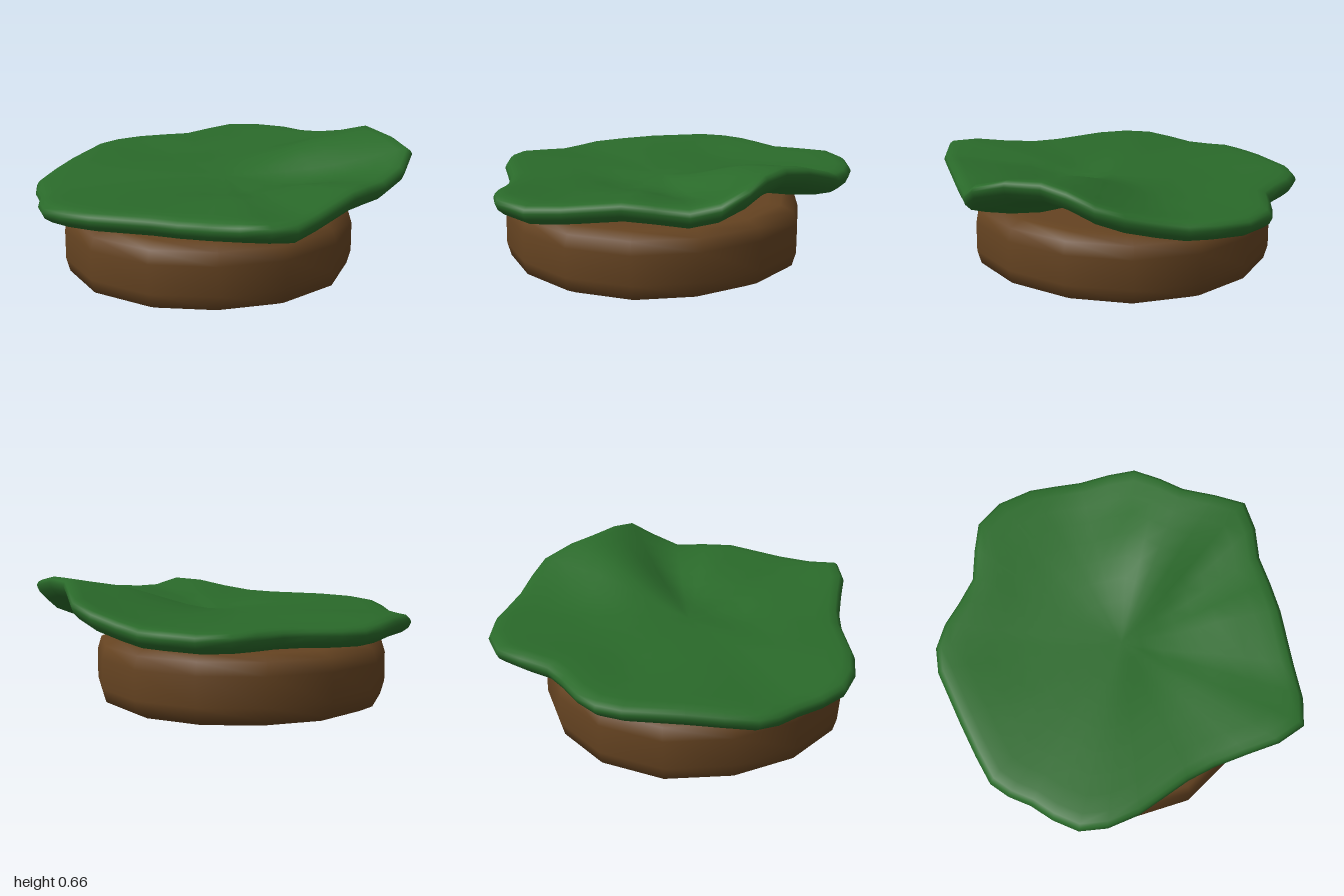
import * as THREE from 'three';

// Rim of the leaf, clockwise from the back: x, z, height of the upper lip
const RIM = [
  [0.13, -1, 0.5], [0.29, -0.98, 0.5], [0.44, -0.89, 0.505], [0.53, -0.8, 0.505], [0.62, -0.69, 0.525],
  [0.73, -0.58, 0.56], [0.81, -0.47, 0.605], [0.825, -0.32, 0.65], [0.835, -0.18, 0.67], [0.9, -0.02, 0.67],
  [0.96, 0.12, 0.64], [0.9, 0.23, 0.57], [0.79, 0.33, 0.525], [0.69, 0.46, 0.54], [0.59, 0.58, 0.55],
  [0.39, 0.79, 0.515], [0.27, 0.92, 0.505], [0.14, 1, 0.535], [0, 0.945, 0.525], [-0.13, 0.845, 0.5],
  [-0.27, 0.745, 0.48], [-0.4, 0.675, 0.475], [-0.68, 0.57, 0.47], [-0.82, 0.48, 0.465], [-0.91, 0.37, 0.455],
  [-0.935, 0.23, 0.44], [-0.935, 0.1, 0.43], [-0.96, -0.02, 0.43], [-0.96, -0.13, 0.44], [-0.89, -0.27, 0.455],
  [-0.8, -0.43, 0.47], [-0.65, -0.68, 0.48], [-0.55, -0.77, 0.48], [-0.42, -0.81, 0.485], [-0.28, -0.82, 0.49],
  [-0.14, -0.84, 0.49], [0, -0.93, 0.495],
];

// Ring sections from top centre, round the lip, to bottom centre: radius fraction, drop below the top
const SECTION = [
  [0, 0], [0.12, 0], [0.24, 0], [0.36, 0], [0.48, 0], [0.6, 0], [0.72, 0], [0.83, 0], [0.92, 0], [0.97, 0.008],
  [0.99, 0.025], [1, 0.045], [0.985, 0.075], [0.95, 0.1], [0.86, 0.112], [0.7, 0.12], [0.5, 0.12], [0.25, 0.12], [0, 0.12],
];

const bump = (x, z, cx, cz, rx, rz) => Math.exp(-(((x - cx) / rx) ** 2) - ((z - cz) / rz) ** 2);

// Height of the upper skin: dished centre, raised rim, one fold and shallow dents
function topHeight(x, z, t, rimY) {
  const inner = 1 - t ** 4;
  return 0.465 + (rimY - 0.465) * t ** 1.7
    + inner * (0.065 * bump(x, z, 0.5, -0.2, 0.35, 0.24)
    - 0.03 * bump(x, z, 0.45, 0.12, 0.35, 0.12)
    - 0.025 * bump(x, z, 0.1, 0.24, 0.3, 0.12)
    + 0.02 * bump(x, z, 0.4, 0.36, 0.3, 0.14)
    - 0.015 * bump(x, z, -0.25, -0.47, 0.4, 0.12));
}

function leafGeometry() {
  const n = RIM.length;
  const last = SECTION.length - 1;
  const pos = [];
  const index = [];
  const id = (i, j) => (i === 0 ? 0 : i === last ? 1 + (last - 1) * n : 1 + (i - 1) * n + (j % n));
  SECTION.forEach(([t, drop], i) => {
    const count = i === 0 || i === last ? 1 : n;
    for (let j = 0; j < count; j++) {
      const [rx, rz, ry] = RIM[j];
      const x = rx * t;
      const z = rz * t;
      pos.push(x, topHeight(x, z, t, ry) - drop, z);
    }
  });
  for (let i = 0; i < last; i++) {
    for (let j = 0; j < n; j++) {
      const a = id(i, j), b = id(i + 1, j), c = id(i + 1, j + 1), d = id(i, j + 1);
      if (i < last - 1) index.push(a, c, b);
      if (i > 0) index.push(a, d, c);
    }
  }
  const geo = new THREE.BufferGeometry();
  geo.setAttribute('position', new THREE.Float32BufferAttribute(pos, 3));
  geo.setIndex(index);
  geo.computeVertexNormals();
  return geo;
}

// Round patty with softened edges, slightly fuller on the diagonals
function pattyGeometry() {
  const profile = [
    [0, 0], [0.6, 0], [0.67, 0], [0.735, 0.03], [0.755, 0.1],
    [0.755, 0.25], [0.735, 0.315], [0.67, 0.345], [0.6, 0.345], [0, 0.345],
  ].map(([r, y]) => new THREE.Vector2(r, y));
  const geo = new THREE.LatheGeometry(profile, 14);
  const pos = geo.attributes.position;
  for (let i = 0; i < pos.count; i++) {
    const x = pos.getX(i), z = pos.getZ(i);
    const k = 1 + 0.03 * Math.sin(2 * Math.atan2(z, x)) ** 2;
    pos.setXYZ(i, x * k * 0.985, pos.getY(i), z * k * 1.005);
  }
  return geo;
}

export function createModel() {
  const group = new THREE.Group();
  group.name = 'pattyWithLeaf';
  const brown = new THREE.MeshStandardMaterial({ color: 0x654321 });
  brown.name = 'brown';
  const green = new THREE.MeshStandardMaterial({ color: 0x2a6a2a });
  green.name = 'green';

  const patty = new THREE.Mesh(pattyGeometry(), brown);
  patty.name = 'patty';
  patty.position.x = -0.08;
  group.add(patty);

  // Wavy leaf lying on top
  const leaf = new THREE.Mesh(leafGeometry(), green);
  leaf.name = 'leaf';
  group.add(leaf);
  return group;
}
